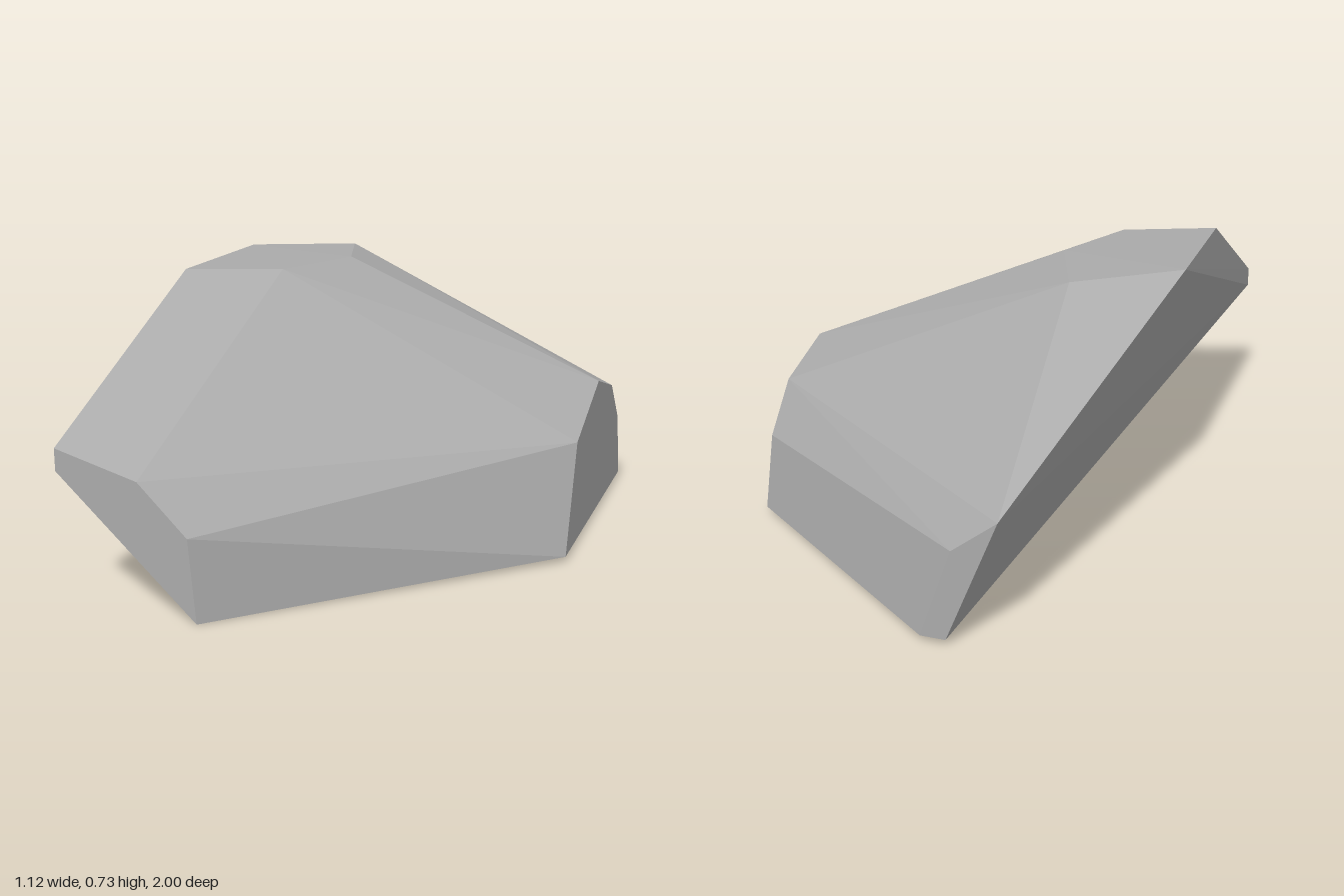
import * as THREE from 'three';
import { ConvexGeometry } from 'three/addons/geometries/ConvexGeometry.js';

// A faceted boulder: the convex skin around five rings of cut corners.
export function createModel() {
  const group = new THREE.Group();
  group.name = 'boulder';
  const stone = new THREE.MeshStandardMaterial({ color: 0xaaaaaa, flatShading: true });
  stone.name = 'grey stone';

  const corners = [
    // flat crown
    [-0.555, 0.73, 0.285], [-0.3, 0.728, 0.19], [-0.195, 0.728, -0.08],
    [-0.285, 0.723, -0.355], [-0.555, 0.732, -0.18],
    // front cut
    [-0.56, 0.408, 1], [-0.34, 0.345, 1], [-0.212, 0.216, 1],
    [-0.195, 0, 1], [-0.56, 0.35, 1],
    // side cut
    [0.56, 0.303, 0.205], [0.56, 0.406, -0.08], [0.56, 0.34, -0.3],
    [0.56, 0.213, -0.42], [0.56, 0.015, -0.475], [0.56, 0.015, 0.318],
    // back cut
    [-0.3, 0.34, -1], [-0.185, 0.252, -1], [-0.105, 0.016, -1], [-0.17, 0.015, -1],
  ].map((p) => new THREE.Vector3(...p));

  const rock = new THREE.Mesh(new ConvexGeometry(corners), stone);
  rock.name = 'rock';
  group.add(rock);
  return group;
}
